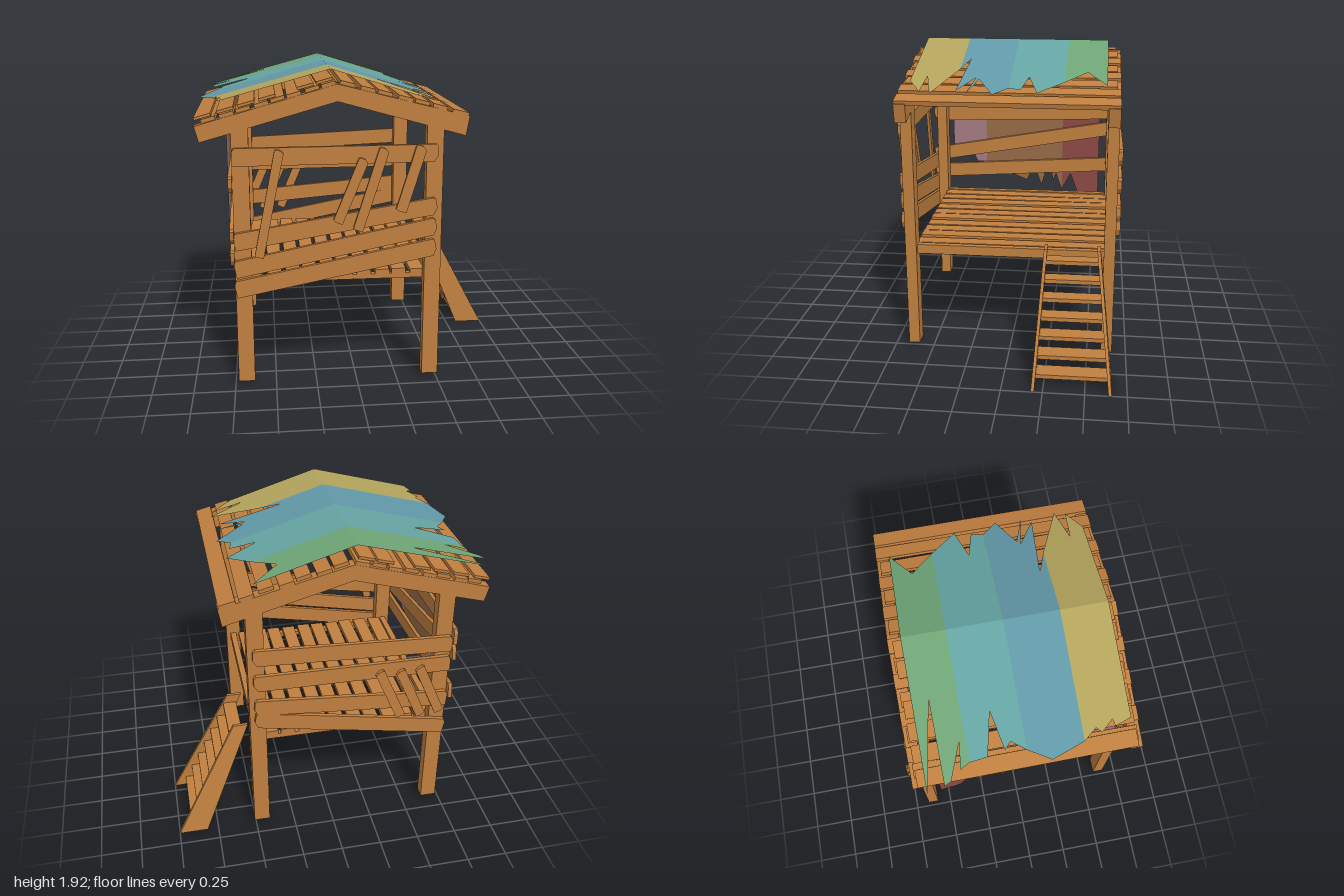
import * as THREE from 'three';

const mat = (name, color, open = false) => {
  const m = new THREE.MeshStandardMaterial({ color });
  m.name = name;
  if (open) m.side = THREE.DoubleSide;
  return m;
};

export function createModel() {
  const root = new THREE.Group();
  root.name = 'raisedPlayhouse';
  const wood = mat('wood', 0xc07f40);
  const olive = mat('olive cloth', 0xb3a45c, true);
  const blue = mat('blue cloth', 0x6299a8, true);
  const teal = mat('teal cloth', 0x65a5a4, true);
  const green = mat('green cloth', 0x6fa577, true);
  const mauve = mat('mauve cloth', 0xa57b82, true);
  const brown = mat('brown cloth', 0x976a47, true);
  const red = mat('red cloth', 0x8c4a45, true);

  const add = (name, geo, material = wood, parent = root) => {
    const m = new THREE.Mesh(geo, material);
    m.name = name;
    parent.add(m);
    return m;
  };
  const group = (name) => {
    const g = new THREE.Group();
    g.name = name;
    root.add(g);
    return g;
  };
  // box given by its extents
  const box = (name, x0, x1, y0, y1, z0, z1, parent = root) => {
    const m = add(name, new THREE.BoxGeometry(x1 - x0, y1 - y0, z1 - z0), wood, parent);
    m.position.set((x0 + x1) / 2, (y0 + y1) / 2, (z0 + z1) / 2);
    return m;
  };
  const polygon = (pts) => new THREE.Shape(pts.map(([x, y]) => new THREE.Vector2(x, y)));
  // board between two points with clipped corners, lying in the xy plane
  const board = (name, x0, y0, x1, y1, w, z, t, parent) => {
    const l = Math.hypot(x1 - x0, y1 - y0) / 2, h = w / 2, c = w * 0.25;
    const shape = polygon([[-l, -h], [l - c, -h], [l, -h + c * 1.5], [l, h - c / 2], [l - c / 2, h],
      [-l + c / 2, h], [-l, h - c]]);
    const m = add(name, new THREE.ExtrudeGeometry(shape, { depth: t, bevelEnabled: false }), wood, parent);
    m.position.set((x0 + x1) / 2, (y0 + y1) / 2, z);
    m.rotation.z = Math.atan2(y1 - y0, x1 - x0);
  };

  // Corner posts
  for (const x of [-0.73, 0.41]) {
    for (const z of [-0.66, 0.59]) box('post', x, x + 0.1, 0.02, 1.6, z, z + 0.07);
  }

  // Floor frame and boards
  const floor = group('floor');
  for (const z of [-0.6, 0.56]) box('floorBeam', -0.7, 0.48, 0.64, 0.67, z, z + 0.04, floor);
  for (const x of [-0.7, 0.44]) box('floorSideBeam', x, x + 0.04, 0.64, 0.7, -0.6, 0.6, floor);
  for (let i = 0; i < 10; i++) {
    const x = -0.65 + i * 0.109;
    const b = box('floorBoard', x, x + 0.088, 0.67, 0.695 + (i % 3) * 0.003, -0.6, 0.6, floor);
    b.rotation.y = ((i * 7) % 5 - 2) * 0.004;
  }

  // Front railing
  const front = group('frontRailing');
  for (const [a, b] of [[1.43, 1.435], [0.92, 1.115], [0.75, 0.99], [0.625, 0.86]]) {
    board('frontPlank', -0.73, a, 0.475, b, 0.105, 0.66, 0.025, front);
  }
  for (const [x0, y0, x1, y1, w] of [[-0.585, 0.83, -0.455, 1.47, 0.055], [-0.12, 1.03, 0.035, 1.41, 0.06],
    [0, 0.98, 0.155, 1.47, 0.06], [0.255, 1.09, 0.375, 1.48, 0.065]]) {
    board('frontBrace', x0, y0, x1, y1, w, 0.685, 0.02, front);
  }

  // Back railing
  const back = group('backRailing');
  for (const [a, b] of [[1.255, 1.305], [1.115, 1.125], [0.85, 0.95], [0.63, 0.86]]) {
    board('backPlank', -0.73, a, 0.48, b, 0.105, -0.685, 0.025, back);
  }
  for (const [x, y] of [[-0.43, 0.77], [-0.56, 0.76], [-0.68, 0.77]]) {
    board('backBrace', x, y, x + 0.15, y + 0.35, 0.06, -0.705, 0.02, back);
  }

  // Left railing, built along local x and turned to the side
  const left = group('leftRailing');
  left.rotation.y = -Math.PI / 2;
  for (const [a, b] of [[1.31, 1.27], [1.2, 0.955], [0.915, 0.825]]) {
    board('leftPlank', -0.7, a, 0.7, b, 0.1, 0.73, 0.024, left);
  }

  // Gable beams
  const roof = group('roof');
  const gable = polygon([[-0.935, 1.61], [-0.91, 1.515], [-0.115, 1.74], [0.64, 1.53], [0.66, 1.645], [-0.115, 1.84]]);
  for (const z of [-0.66, 0.59]) {
    add('gableBeam', new THREE.ExtrudeGeometry(gable, { depth: 0.07, bevelEnabled: false }), wood, roof).position.z = z;
  }

  // Roof slats: a single layer on the right, a doubled layer on the left
  const slat = (x, y, w, t, slope, skew, len = 1.3) => {
    const m = add('roofSlat', new THREE.BoxGeometry(w, t, len), wood, roof);
    m.position.set(x, y, 0);
    m.rotation.set(0, skew, slope, 'ZYX');
  };
  for (let i = 0; i < 6; i++) {
    const x = -0.05 + i * 0.108;
    slat(x, 1.84 - 0.252 * (x + 0.115) + 0.012, 0.088, 0.022, -0.25, ((i * 3) % 5 - 2) * 0.005, 1.28 + (i % 2) * 0.04);
  }
  slat(0.605, 1.662, 0.1, 0.03, -0.25, 0, 1.32);
  for (let i = 0; i < 8; i++) {
    const x = -0.85 + i * 0.098;
    slat(x, 1.84 + 0.28 * (x + 0.115) + 0.012, 0.085, 0.022, 0.275, ((i * 3) % 5 - 2) * 0.004, 1.28 + (i % 2) * 0.04);
  }
  for (const x of [-0.89, -0.76, -0.64, -0.52, -0.3, -0.19]) {
    slat(x, 1.84 + 0.28 * (x + 0.115) + 0.036, 0.1, 0.016, 0.265, 0.004, 1.26);
  }

  // Roof cloth: torn strips folded over the ridge; edges are listed as [x, z] from back to front
  const ridge = -0.15;
  const cloth = group('roofCloth');
  const strip = (name, material, leftEdge, rightEdge) => {
    for (const edge of [leftEdge, rightEdge]) {
      const pts = [[ridge, edge[0][1]], ...edge, [ridge, edge[edge.length - 1][1]]];
      const geo = new THREE.ShapeGeometry(polygon(pts.map(([x, z]) => [x, -z])));
      geo.rotateX(-Math.PI / 2);
      const p = geo.attributes.position;
      for (let i = 0; i < p.count; i++) {
        const d = p.getX(i) - ridge;
        p.setY(i, 1.92 - (d < 0 ? -d * 0.27 : d * 0.307));
      }
      geo.computeVertexNormals();
      add(name, geo, material, cloth);
    }
  };
  strip('greenStrip', green,
    [[-1, -0.58], [-0.5, -0.485], [-0.97, -0.48], [-0.95, -0.44], [-0.75, -0.36], [-0.9, -0.38], [-0.87, -0.325]],
    [[0.45, -0.58], [0.29, -0.46], [0.42, -0.325]]);
  strip('tealStrip', teal,
    [[-0.87, -0.325], [-0.86, -0.22], [-0.62, -0.165], [-0.84, -0.12], [-0.8, -0.08], [-0.86, 0]],
    [[0.42, -0.325], [0.55, -0.17], [0.36, -0.11], [0.52, -0.07], [0.5, 0]]);
  strip('blueStrip', blue,
    [[-0.86, 0], [-0.935, 0.13], [-0.87, 0.325]],
    [[0.5, 0], [0.58, 0.09], [0.4, 0.19], [0.58, 0.25], [0.38, 0.21], [0.54, 0.31], [0.14, 0.275], [0.28, 0.325]]);
  strip('oliveStrip', olive,
    [[-0.87, 0.325], [-0.81, 0.4], [-0.84, 0.43], [-0.78, 0.5], [-0.82, 0.51], [-0.79, 0.605]],
    [[0.28, 0.325], [0.58, 0.46], [0.37, 0.51], [0.56, 0.525], [0.43, 0.605]]);

  // Side curtain: torn lower edges are listed as [z, y]
  const curtain = group('sideCurtain');
  curtain.rotation.y = -Math.PI / 2;
  const drape = (name, material, edge) => {
    const pts = [[edge[0][0], 1.66], ...edge, [edge[edge.length - 1][0], 1.66]];
    add(name, new THREE.ShapeGeometry(polygon(pts)), material, curtain).position.z = 0.758;
  };
  drape('mauveDrape', mauve, [[0.56, 0.97], [0.47, 1], [0.44, 0.94], [0.41, 0.96], [0.38, 0.9], [0.31, 0.9]]);
  drape('brownDrape', brown, [[0.31, 0.9], [0.12, 0.81], [0, 0.76], [-0.03, 0.84], [-0.07, 0.83], [-0.11, 0.72],
    [-0.14, 0.83], [-0.18, 0.85], [-0.2, 0.76], [-0.22, 0.82], [-0.265, 0.69]]);
  drape('redDrape', red, [[-0.265, 0.69], [-0.33, 0.82], [-0.4, 0.63], [-0.45, 0.59], [-0.5, 0.58], [-0.54, 0.55]]);

  // Ladder: splayed tapering sides with flat treads
  const ladder = group('ladder');
  const sides = [[-0.235, -0.19], [-0.56, -0.65]];
  for (const [top, bottom] of sides) {
    const geo = new THREE.BoxGeometry(1, 1, 0.02);
    const p = geo.attributes.position;
    for (let i = 0; i < p.count; i++) {
      const up = p.getY(i) > 0, out = p.getX(i) > 0;
      p.setXYZ(i, up ? (out ? 0.605 : 0.515) : (out ? 1 : 0.82), up ? 0.75 : 0, p.getZ(i) + (up ? top : bottom));
    }
    geo.computeVertexNormals();
    add('ladderSide', geo, wood, ladder);
  }
  for (let i = 0; i < 7; i++) {
    const y = 0.06 + i * 0.103, k = y / 0.75;
    const x = THREE.MathUtils.lerp(0.89, 0.56, k), w = THREE.MathUtils.lerp(0.06, 0.04, k);
    const [z1, z0] = sides.map(([t, b]) => THREE.MathUtils.lerp(b, t, k));
    box('ladderTread', x - w, x + w, y - 0.013, y + 0.013, z0, z1, ladder);
  }

  return root;
}
